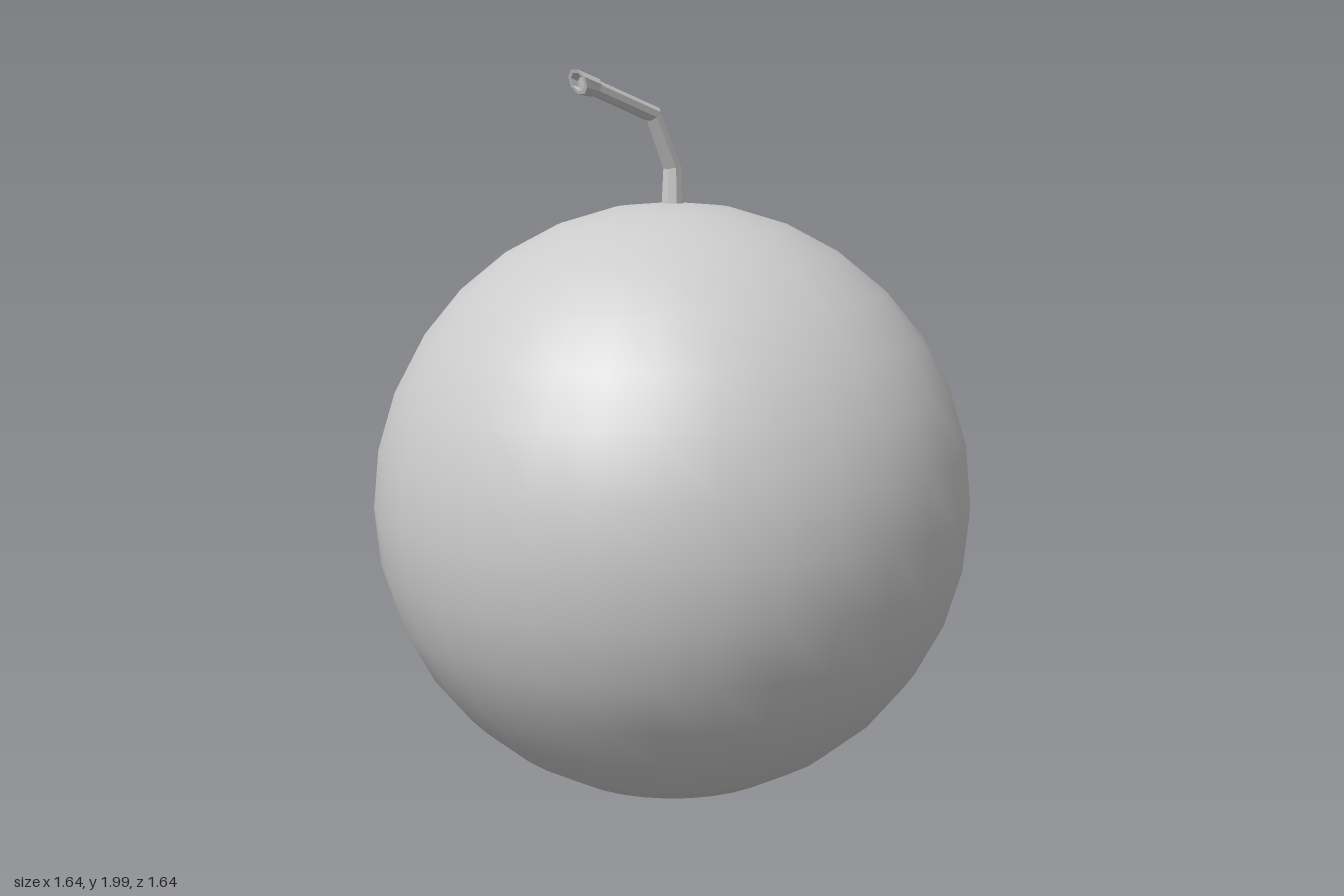
import * as THREE from 'three';

const SIDES = 8;

// Sweeps flat-sided octagonal rings; each ring is [x, y, half width, tilt in degrees].
function sweepRings(rings) {
  const corner = ([x, y, r, tilt], j) => {
    const a = ((j + 0.5) / SIDES) * Math.PI * 2;
    const t = THREE.MathUtils.degToRad(tilt);
    const radius = r / Math.cos(Math.PI / SIDES);
    const u = Math.cos(a) * radius;
    return [x + u * Math.cos(t), y + u * Math.sin(t), Math.sin(a) * radius];
  };
  const positions = [];
  for (let i = 0; i < rings.length - 1; i++) {
    for (let j = 0; j < SIDES; j++) {
      const a = corner(rings[i], j), b = corner(rings[i], j + 1);
      const c = corner(rings[i + 1], j), d = corner(rings[i + 1], j + 1);
      positions.push(...a, ...c, ...b, ...b, ...c, ...d);
    }
  }
  const geometry = new THREE.BufferGeometry();
  geometry.setAttribute('position', new THREE.Float32BufferAttribute(positions, 3));
  geometry.computeVertexNormals();
  return geometry;
}

export function createModel() {
  const group = new THREE.Group();
  const add = (name, geometry, flatShading) => {
    const material = new THREE.MeshStandardMaterial({ color: 0xcccccc, flatShading });
    const mesh = new THREE.Mesh(geometry, material);
    mesh.name = name;
    group.add(mesh);
    return mesh;
  };

  // Round fruit body
  add('body', new THREE.SphereGeometry(0.82, 32, 16), false).position.y = 0.825;

  // Bent, tapering stem
  add('stem', sweepRings([
    [0, 1.62, 0.03, 0],
    [0, 1.74, 0.025, 13],
    [-0.07, 1.88, 0.022, 48],
    [-0.28, 1.955, 0.02, 69],
  ]), true);

  // Flared stem tip with a slanted, hollowed end
  add('stemTip', sweepRings([
    [-0.272, 1.952, 0, 69],
    [-0.272, 1.952, 0.024, 69],
    [-0.329, 1.968, 0.033, 109],
    [-0.329, 1.968, 0.024, 109],
    [-0.312, 1.962, 0.018, 100],
    [-0.312, 1.962, 0, 100],
  ]), true);

  return group;
}
